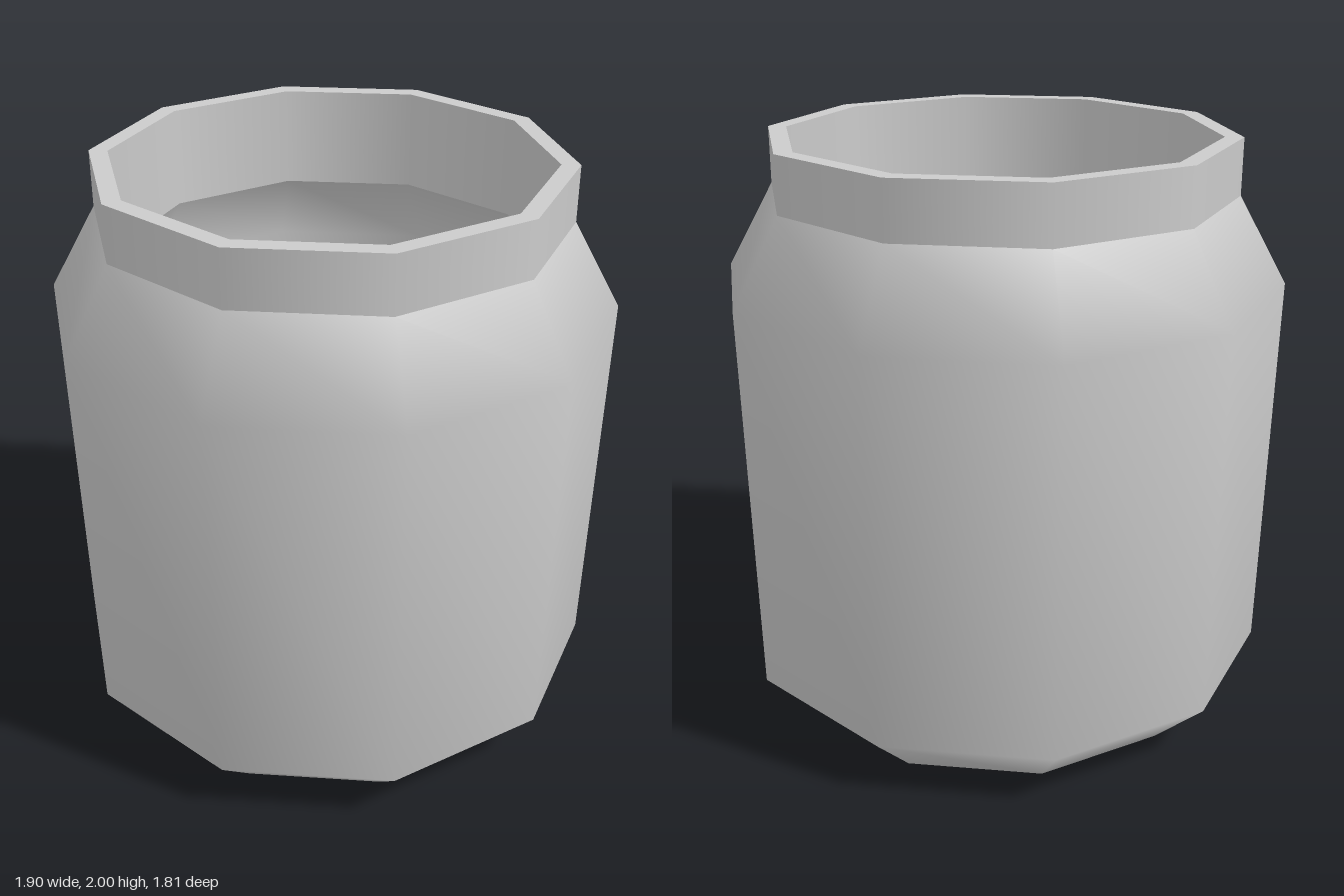
import * as THREE from 'three';

const SIDES = 10;

export function createModel() {
  const group = new THREE.Group();
  group.name = 'jar';
  const material = new THREE.MeshStandardMaterial({ color: 0xcccccc });

  // Each smooth section is its own ten-sided lathe, so edges between sections stay sharp.
  function section(name, profile) {
    const points = profile.map(([r, y]) => new THREE.Vector2(r, y));
    const geometry = new THREE.LatheGeometry(points, SIDES);
    geometry.rotateY(Math.PI / 2); // put a corner on the x axis
    const mesh = new THREE.Mesh(geometry, material);
    mesh.name = name;
    group.add(mesh);
  }

  // Outside, from the base up to the rim
  section('base', [[0, 0], [0.73, 0]]);
  section('body', [[0.73, 0], [0.925, 0.19], [0.95, 1.52], [0.787, 1.81]]);
  section('neck', [[0.787, 1.81], [0.787, 2]]);
  section('rim', [[0.787, 2], [0.725, 2]]);

  // Inside, from the rim down to the floor
  section('innerNeck', [[0.725, 2], [0.725, 1.66]]);
  section('innerBody', [[0.725, 1.66], [0.87, 1.4], [0.845, 0.2], [0.67, 0.05]]);
  section('innerFloor', [[0.67, 0.05], [0, 0.05]]);

  return group;
}
